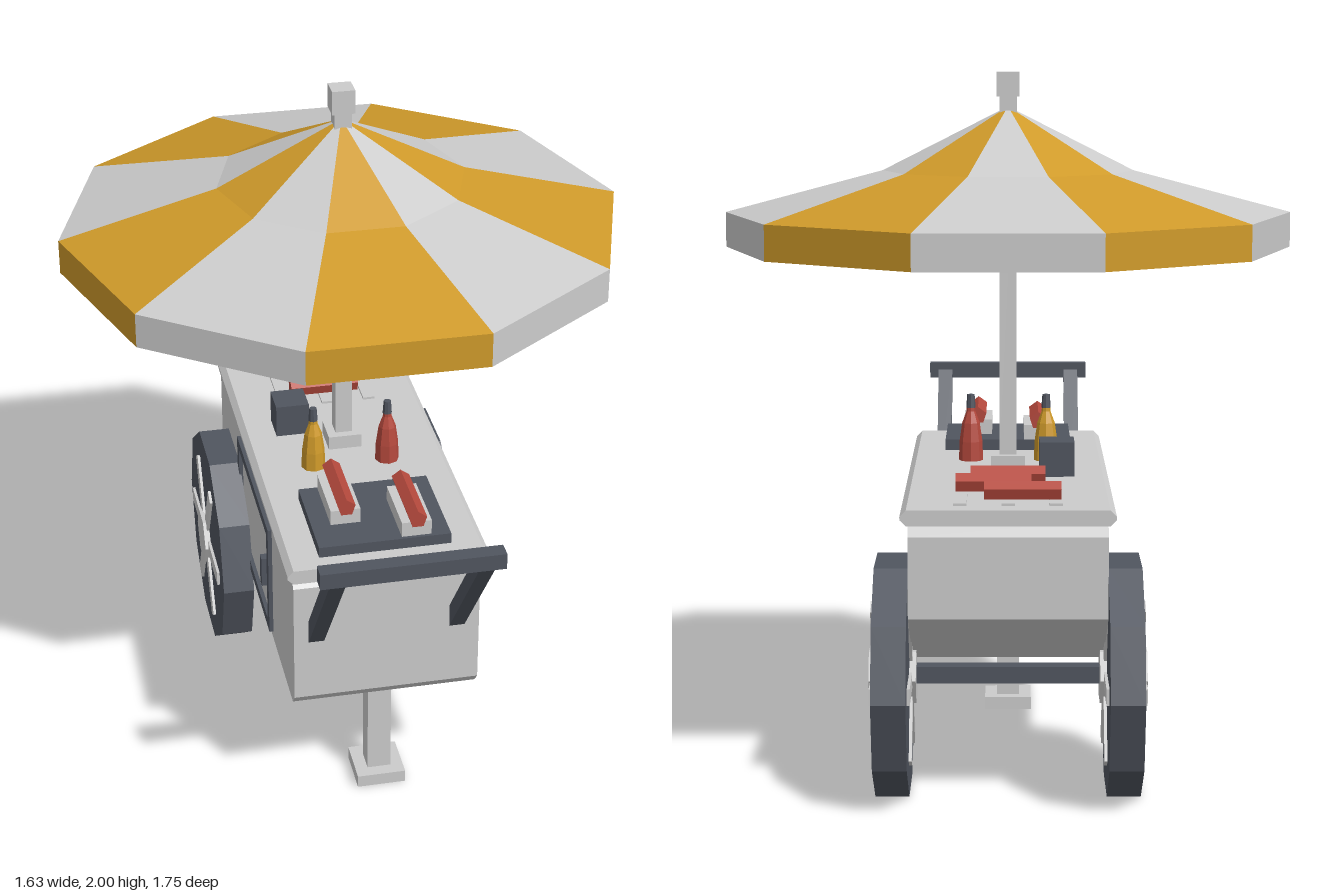
import * as THREE from 'three';

const mat = (color) => new THREE.MeshStandardMaterial({ color, flatShading: true });

export function createModel() {
  const root = new THREE.Group();
  const grey = mat(0xcccccc), dark = mat(0x50555f), orange = mat(0xcf9a2a), red = mat(0xb5493d);

  const add = (name, geo, material, x = 0, y = 0, z = 0, parent = root) => {
    const m = new THREE.Mesh(geo, material);
    m.name = name;
    m.position.set(x, y, z);
    parent.add(m);
    return m;
  };
  // Box given by its limits on each axis
  const box = (name, material, [x0, x1], [y0, y1], [z0, z1]) =>
    add(name, new THREE.BoxGeometry(x1 - x0, y1 - y0, z1 - z0), material,
      (x0 + x1) / 2, (y0 + y1) / 2, (z0 + z1) / 2);
  const extrude = (pts, depth) => new THREE.ExtrudeGeometry(
    new THREE.Shape(pts.map((p) => new THREE.Vector2(...p))), { depth, bevelEnabled: false });

  // Cart body: side profile (z, y) swept across x, with a cut-away underside at the back
  const bodyGeo = extrude([
    [0.52, 0.365], [0.55, 0.4], [0.55, 0.775], [0.515, 0.815],
    [-0.705, 0.815], [-0.74, 0.775], [-0.74, 0.55], [-0.42, 0.365],
  ], 0.54);
  bodyGeo.rotateY(-Math.PI / 2).translate(0.27, 0, 0);
  add('body', bodyGeo, grey);

  // Countertop: chamfered slab swept along z
  const w = 0.29, c = 0.017, yb = 0.81, yt = 0.853;
  add('countertop', extrude([
    [-w + c, yb], [w - c, yb], [w, yb + c], [w, yt - c],
    [w - c, yt], [-w + c, yt], [-w, yt - c], [-w, yb + c],
  ], 1.34), grey, 0, 0, -0.765);

  // Door frames with pulls on both sides
  const frame = new THREE.Shape();
  frame.moveTo(-0.35, 0.39).lineTo(0.2, 0.39).lineTo(0.2, 0.75).lineTo(-0.35, 0.75).closePath();
  const opening = new THREE.Path();
  opening.moveTo(-0.32, 0.42).lineTo(-0.32, 0.72).lineTo(0.17, 0.72).lineTo(0.17, 0.42).closePath();
  frame.holes.push(opening);
  const frameGeo = new THREE.ExtrudeGeometry(frame, { depth: 0.02, bevelEnabled: false });
  frameGeo.rotateY(-Math.PI / 2).translate(0.01, 0, 0);

  // Wheels: ten-sided tyre, six-sided hub, three full-width spoke bars
  const disc = (r, width, n) => new THREE.CylinderGeometry(r, r, width, n).rotateZ(Math.PI / 2);
  const makeWheel = (s) => {
    const wheel = new THREE.Group();
    wheel.name = s > 0 ? 'leftWheel' : 'rightWheel';
    wheel.position.set(s * 0.323, 0.327, -0.459);
    add('tyre', disc(0.342, 0.095, 10), dark, 0, 0, 0, wheel);
    add('hub', disc(0.085, 0.132, 6), grey, 0, 0, 0, wheel);
    for (let k = 0; k < 3; k++) {
      const bar = add('spoke', new THREE.BoxGeometry(0.112, 0.045, 0.515), grey, 0, 0, 0, wheel);
      bar.rotation.x = k * Math.PI / 3;
    }
    root.add(wheel);
  };

  const armFrom = new THREE.Vector3(0, 0.6, 0.53), armTo = new THREE.Vector3(0, 1.01, 0.852);
  const armDir = armTo.clone().sub(armFrom);
  for (const s of [1, -1]) {
    add('doorFrame', frameGeo, dark, s * 0.272);
    add('doorPull', new THREE.BoxGeometry(0.03, 0.095, 0.028), dark, s * 0.278, 0.568, 0.13);
    makeWheel(s);
    const mid = armFrom.clone().add(armTo).multiplyScalar(0.5);
    const arm = add('handleArm', new THREE.BoxGeometry(0.045, 0.045, armDir.length()), dark,
      s * 0.205, mid.y, mid.z);
    arm.rotation.x = -Math.atan2(armDir.y, armDir.z);
  }
  box('handleBar', dark, [-0.255, 0.255], [0.99, 1.037], [0.828, 0.875]);
  box('axle', dark, [-0.28, 0.28], [0.304, 0.352], [-0.483, -0.435]);

  // Front support leg
  box('leg', grey, [-0.035, 0.035], [0.03, 0.38], [0.387, 0.457]);
  box('foot', grey, [-0.072, 0.072], [0, 0.038], [0.35, 0.495]);

  // Pole with base and finial
  box('poleBase', grey, [-0.05, 0.05], [0.85, 0.895], [-0.147, -0.047]);
  box('pole', grey, [-0.025, 0.025], [0.86, 1.94], [-0.122, -0.072]);
  box('finial', grey, [-0.033, 0.033], [1.93, 2], [-0.13, -0.064]);

  // Canopy: ten panels in alternating colours, each rising through three steps
  const rings = [[0.813, 1.5], [0.813, 1.6], [0.36, 1.72], [0, 1.902]];
  const panels = { canopyOrange: [], canopyGrey: [] };
  const at = ([r, y], k) => {
    const a = k * Math.PI / 5;
    return [r * Math.cos(a), y, r * Math.sin(a)];
  };
  for (let k = 0; k < 10; k++) {
    const out = k % 2 ? panels.canopyGrey : panels.canopyOrange;
    for (let i = 0; i < 3; i++) {
      const a = at(rings[i], k), b = at(rings[i], k + 1);
      const d = at(rings[i + 1], k), e = at(rings[i + 1], k + 1);
      out.push(...a, ...d, ...b);
      if (i < 2) out.push(...b, ...d, ...e);
    }
  }
  for (const [name, pos] of Object.entries(panels)) {
    const g = new THREE.BufferGeometry();
    g.setAttribute('position', new THREE.Float32BufferAttribute(pos, 3));
    g.computeVertexNormals();
    add(name, g, name === 'canopyOrange' ? orange : grey, 0, 0, -0.1);
  }
  add('canopyUnderside', new THREE.CircleGeometry(0.813, 10).rotateX(Math.PI / 2), grey, 0, 1.5, -0.1);

  // Sausages: five-sided rods with a corner upwards
  const sausage = (length) => new THREE.CylinderGeometry(0.027, 0.027, length, 5).rotateX(-Math.PI / 2);

  // Serving tray with two filled buns
  box('tray', dark, [-0.19, 0.19], [0.85, 0.885], [0.205, 0.52]);
  for (const [x, z] of [[0.092, 0.41], [-0.092, 0.31]]) {
    box('bun', grey, [x - 0.043, x + 0.043], [0.88, 0.93], [z - 0.1, z + 0.1]);
    add('bunSausage', sausage(0.23), red, x, 0.945, z);
  }

  // Grill slats with three sausages across them
  for (const x of [-0.13, 0, 0.13])
    box('grillSlat', grey, [x - 0.018, x + 0.018], [0.85, 0.86], [-0.7, -0.32]);
  [[0, -0.39], [0.04, -0.51], [-0.04, -0.63]].forEach(([x, z]) =>
    add('grillSausage', sausage(0.21).rotateY(Math.PI / 2), red, x, 0.882, z));

  // Sauce bottles with dark caps
  const profile = [[0, 0], [0.036, 0], [0.034, 0.06], [0.026, 0.115], [0.013, 0.15], [0.012, 0.17], [0, 0.17]]
    .map((p) => new THREE.Vector2(...p));
  for (const [x, m] of [[0.11, red], [-0.113, orange]]) {
    add('bottle', new THREE.LatheGeometry(profile, 8), m, x, 0.85, 0.033);
    add('bottleCap', new THREE.CylinderGeometry(0.011, 0.014, 0.04, 8), dark, x, 1.03, 0.033);
  }

  // Napkin box
  box('napkinBox', dark, [-0.19, -0.09], [0.85, 0.953], [-0.255, -0.155]);

  return root;
}
